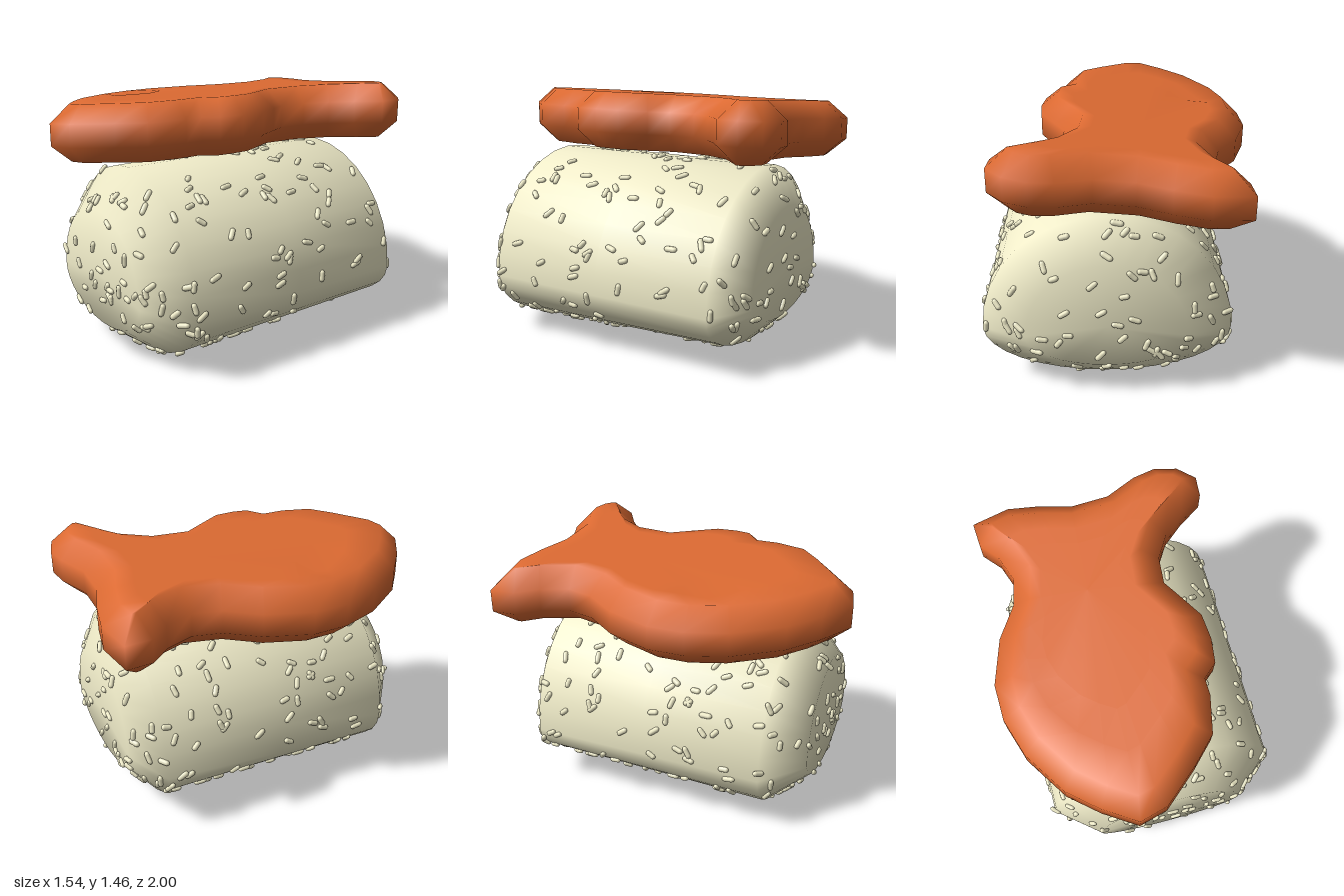
import * as THREE from 'three';
import { mergeGeometries } from 'three/addons/utils/BufferGeometryUtils.js';

// Skin a series of closed rings and close both ends with a fan
function loft(rings, startCentre, endCentre) {
  const n = rings[0].length, last = (rings.length - 1) * n;
  const points = [...rings.flat(), startCentre, endCentre];
  const index = [];
  for (let j = 0; j < n; j++) {
    const k = (j + 1) % n;
    for (let i = 0; i < rings.length - 1; i++) {
      const a = i * n + j, b = i * n + k, c = a + n, d = b + n;
      index.push(a, c, b, b, c, d);
    }
    index.push(last + n, j, k, last + n + 1, last + k, last + j);
  }
  const g = new THREE.BufferGeometry().setFromPoints(points);
  g.setIndex(index);
  g.computeVertexNormals();
  return g;
}

// Rice block: a tall dome over a shallow bowl, chamfered at both ends
function riceGeometry() {
  const sides = 32, midX = 0.05, midY = 0.45;
  const sections = [[0.86, 0.64], [0.65, 1], [-0.05, 1], [-0.75, 1], [-0.89, 0.64]];
  const rings = sections.map(([z, s]) => {
    const belly = 0.36 - 0.06 * THREE.MathUtils.clamp((0.65 - z) / 1.4, 0, 1);
    return Array.from({ length: sides }, (_, j) => {
      const a = (j / sides) * Math.PI * 2, sin = Math.sin(a);
      const y = 0.36 + sin * (sin > 0 ? 0.69 : belly);
      return new THREE.Vector3(midX + 0.695 * Math.cos(a) * s, midY + (y - midY) * s, z);
    });
  });
  return loft(rings, new THREE.Vector3(midX, midY, 0.86), new THREE.Vector3(midX, midY, -0.89));
}

// Loose grains spread evenly over the surface, lying flat at any angle
function grainGeometry(surface, count) {
  let seed = 7;
  const rand = () => (seed = (seed * 16807) % 2147483647) / 2147483647;
  const pos = surface.attributes.position, idx = surface.index;
  const tris = [];
  let total = 0;
  for (let i = 0; i < idx.count; i += 3) {
    const [a, b, c] = [0, 1, 2].map(k => new THREE.Vector3().fromBufferAttribute(pos, idx.getX(i + k)));
    const tri = new THREE.Triangle(a, b, c);
    total += tri.getArea();
    tris.push({ tri, sum: total });
  }
  const grain = new THREE.CapsuleGeometry(0.016, 0.032, 3, 8);
  const grains = [];
  for (let i = 0; i < count; i++) {
    const pick = rand() * total;
    const { tri } = tris.find(t => t.sum >= pick);
    let u = rand(), v = rand();
    if (u + v > 1) { u = 1 - u; v = 1 - v; }
    const p = tri.a.clone().multiplyScalar(1 - u - v).addScaledVector(tri.b, u).addScaledVector(tri.c, v);
    const normal = tri.getNormal(new THREE.Vector3());
    const q = new THREE.Quaternion().setFromUnitVectors(new THREE.Vector3(0, 0, 1), normal);
    q.multiply(new THREE.Quaternion().setFromAxisAngle(new THREE.Vector3(0, 0, 1), rand() * Math.PI));
    p.addScaledVector(normal, 0.004);
    p.y = Math.max(p.y, 0.016);
    const size = new THREE.Vector3(1, 0.9 + 0.35 * rand(), 0.9);
    grains.push(grain.clone().applyMatrix4(new THREE.Matrix4().compose(p, q, size)));
  }
  return mergeGeometries(grains);
}

// Fish-shaped slice: outline in x, z, running clockwise seen from above
const outline = [
  [-0.69, -0.96], [-0.47, -1], [-0.28, -0.96], [-0.1, -0.9], [0.12, -0.9], [0.3, -0.975],
  [0.43, -0.995], [0.56, -0.955], [0.65, -0.86], [0.64, -0.74], [0.5, -0.65], [0.38, -0.55],
  [0.3, -0.42], [0.285, -0.26], [0.35, -0.15], [0.43, -0.01], [0.44, 0.14], [0.42, 0.28],
  [0.34, 0.35], [0.34, 0.45], [0.29, 0.66], [0.16, 0.79], [-0.04, 0.96], [-0.2, 1],
  [-0.38, 0.88], [-0.54, 0.74], [-0.7, 0.49], [-0.77, 0.27], [-0.775, 0.06], [-0.69, -0.2],
  [-0.57, -0.38], [-0.535, -0.54], [-0.59, -0.7], [-0.68, -0.81],
].map(([x, z]) => new THREE.Vector2(x, z));

function insetOutline(d) {
  const n = outline.length;
  const inward = (a, b) => new THREE.Vector2(a.y - b.y, b.x - a.x).normalize();
  return outline.map((p, i) => {
    const n1 = inward(outline[(i + n - 1) % n], p), n2 = inward(p, outline[(i + 1) % n]);
    return p.clone().addScaledVector(n1.clone().add(n2), d / (1 + n1.dot(n2)));
  });
}

function sliceGeometry() {
  const heart = new THREE.Vector2(-0.15, -0.3);
  // The slice leans: it rises towards its left side
  const place = (p, y) => new THREE.Vector3(p.x, 1.251 + y + 0.085 * p.x, p.y);
  const ring = (inset, pull, y) => insetOutline(inset).map(p => place(p.lerp(heart, pull), y));
  const h = 0.165, e = 0.065;
  const rings = [
    ring(0.105, 0.4, -h), ring(0.105, 0.2, -h), ring(0.105, 0, -h), ring(0, 0, -e),
    ring(0, 0, e), ring(0.105, 0, h), ring(0.105, 0.2, h), ring(0.105, 0.4, h),
  ];
  rings[6][26].y -= 0.03; // small eye dimple
  return loft(rings, place(heart, -h), place(heart, h));
}

export function createModel() {
  const model = new THREE.Group();
  const add = (name, geometry, color) => {
    const mesh = new THREE.Mesh(geometry, new THREE.MeshStandardMaterial({ color }));
    mesh.name = name;
    model.add(mesh);
  };
  const rice = riceGeometry();
  add('riceBlock', rice, 0xefebc8);
  add('riceGrains', grainGeometry(rice, 380), 0xefebc8);
  add('fishSlice', sliceGeometry(), 0xdc6a32);
  return model;
}
